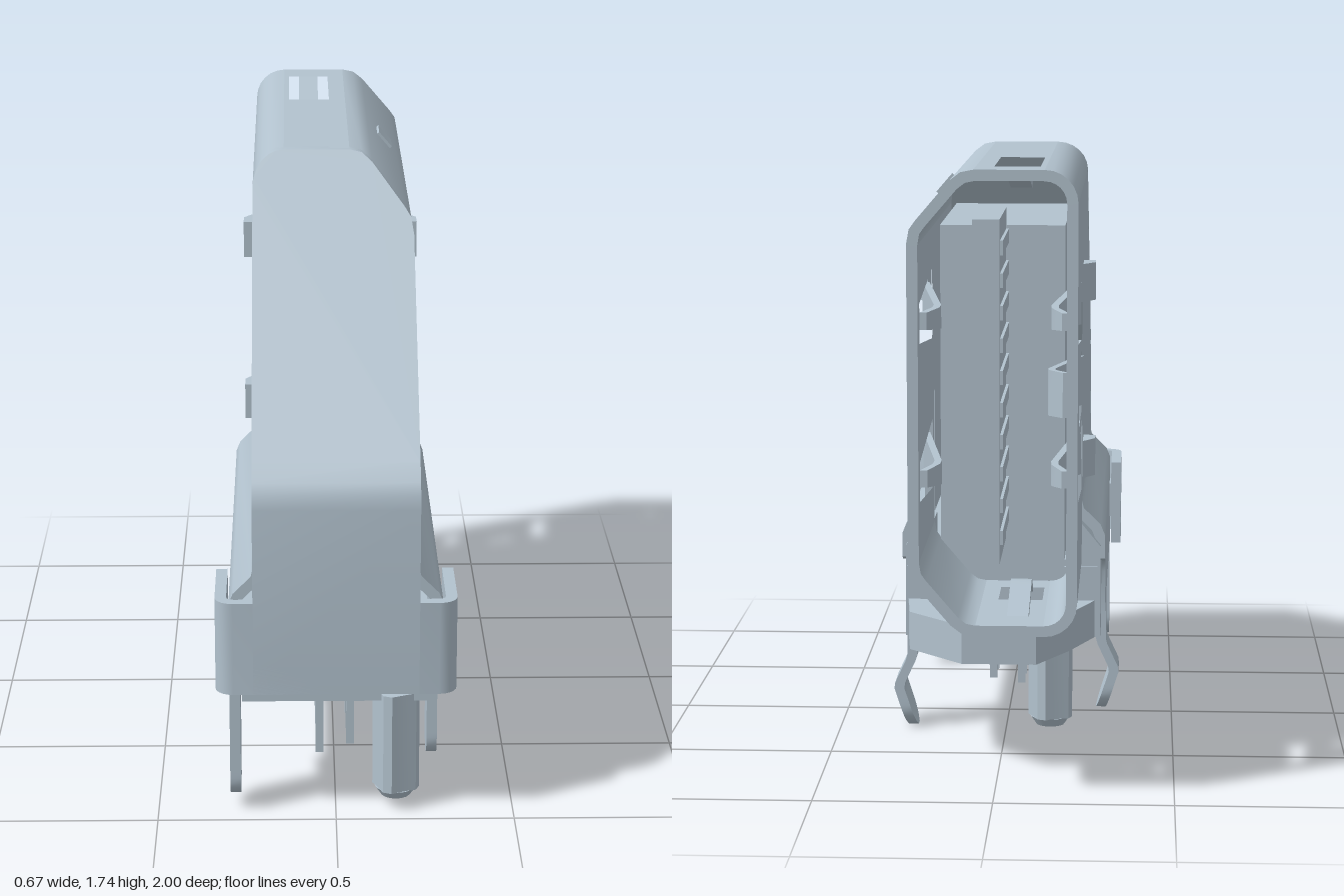
import * as THREE from 'three';
import { toCreasedNormals } from 'three/addons/utils/BufferGeometryUtils.js';

const T = 0.03; // sheet metal thickness
const slopeZ = (y) => 0.2 + (1.74 - y) / 0.96; // sloping front line
const flipY = (p) => p.map(([x, y]) => [x, 2.21 - y]);

// Shell cross-section corners: one small round, one long chamfer
const roundCorner = [];
for (let i = 0; i <= 6; i++) {
  const a = Math.PI - (i / 6) * Math.PI / 2;
  roundCorner.push([-0.14 + 0.09 * Math.cos(a), 1.65 + 0.09 * Math.sin(a)]);
}
const chamferCorner = [[0.05, 1.74], [0.085, 1.733], [0.115, 1.71], [0.205, 1.605], [0.223, 1.58], [0.23, 1.54]];

function extrude(pts, holes, depth) {
  const shape = new THREE.Shape(pts.map((p) => new THREE.Vector2(p[0], p[1])));
  for (const h of holes) shape.holes.push(new THREE.Path(h.map((p) => new THREE.Vector2(p[0], p[1]))));
  return new THREE.ExtrudeGeometry(shape, { depth, bevelEnabled: false });
}
// Plate from (z, y) points spanning x0..x1
function plateX(pts, x0, x1, holes = []) {
  const neg = (l) => l.map(([z, y]) => [-z, y]);
  return extrude(neg(pts), holes.map(neg), x1 - x0).rotateY(Math.PI / 2).translate(x0, 0, 0);
}
// Plate from (x, z) points spanning y0..y1
function plateY(pts, y0, y1, holes = []) {
  const neg = (l) => l.map(([x, z]) => [x, -z]);
  return extrude(neg(pts), holes.map(neg), y1 - y0).rotateX(-Math.PI / 2).translate(0, y0, 0);
}
const plateZ = (pts, z0, z1) => extrude(pts, [], z1 - z0).translate(0, 0, z0);
const rect = (a0, a1, b0, b1) => [[a0, b0], [a1, b0], [a1, b1], [a0, b1]];
const box = (x0, x1, y0, y1, z0, z1) =>
  new THREE.BoxGeometry(x1 - x0, y1 - y0, z1 - z0).translate((x0 + x1) / 2, (y0 + y1) / 2, (z0 + z1) / 2);

// Thicken a polyline to its left (t > 0) or right (t < 0)
function strip(pts, t) {
  const normal = (a, b) => {
    const l = Math.hypot(b[0] - a[0], b[1] - a[1]);
    return [-(b[1] - a[1]) / l, (b[0] - a[0]) / l];
  };
  const inner = pts.map((p, i) => {
    const n0 = i ? normal(pts[i - 1], p) : normal(p, pts[1]);
    const n1 = i < pts.length - 1 ? normal(p, pts[i + 1]) : n0;
    const k = t / (1 + n0[0] * n1[0] + n0[1] * n1[1]);
    return [p[0] + (n0[0] + n1[0]) * k, p[1] + (n0[1] + n1[1]) * k];
  });
  return [...pts, ...inner.reverse()];
}
function moveVertices(geo, rule) {
  const p = geo.attributes.position;
  const v = new THREE.Vector3();
  for (let i = 0; i < p.count; i++) {
    rule(v.fromBufferAttribute(p, i));
    p.setXYZ(i, v.x, v.y, v.z);
  }
  return geo;
}
// Tapered contact spring, bowed inward, its outer face on x = 0 facing +x
function spring(zRoot, zTip, w, tipScale, depth) {
  const geo = new THREE.BoxGeometry(0.02, w, Math.abs(zTip - zRoot), 1, 1, 12).translate(-0.01, 0, (zRoot + zTip) / 2);
  return moveVertices(geo, (v) => {
    const t = (v.z - zRoot) / (zTip - zRoot);
    v.y *= 1 + (tipScale - 1) * t;
    v.x -= depth * (t < 0.8 ? t / 0.8 : 1 - (t - 0.8) * 3);
  });
}
// Board leg with a rounded tip, optionally bowed outward
function leg(s, yBottom, z0, z1, bowed) {
  const h = 0.42 - yBottom, r = (z1 - z0) / 2;
  const geo = new THREE.BoxGeometry(T, h, r * 2, 1, 24, 1).translate(0, yBottom + h / 2, 0);
  moveVertices(geo, (v) => {
    const d = Math.min(1, (v.y - yBottom) / r);
    v.z *= Math.max(0.25, Math.sqrt(1 - (1 - d) ** 2));
    if (bowed && v.y < 0.22) v.x += s * (v.y > 0.13 ? (0.22 - v.y) / 0.09 : v.y / 0.13) * 0.042;
  });
  return geo.translate(s * 0.282, 0, (z0 + z1) / 2);
}

export function createModel() {
  const model = new THREE.Group();
  const metal = new THREE.MeshStandardMaterial({ color: 0xb2c2ce });
  metal.name = 'pale blue grey';
  const add = (name, geo) => {
    const m = new THREE.Mesh(toCreasedNormals(geo, 0.6), metal);
    m.name = name;
    model.add(m);
  };

  // Shell roof and floor: corner strips and slotted flat panels
  const roofEnd = (v) => { if (v.z > 0) v.z = slopeZ(v.y) - 0.03; };
  for (const c of [roundCorner, chamferCorner]) {
    add('roofCorner', moveVertices(plateZ(strip(c, -T), -1, 0.2), roofEnd));
    add('floorCorner', plateZ(strip(flipY(c), T), -1, -0.4));
  }
  const slot = rect(-0.125, 0, -0.88, -0.51);
  add('roof', plateY(rect(-0.14, 0.05, -1, 0.18), 1.71, 1.74, [slot]));
  add('floor', plateY(rect(-0.14, 0.05, -1, -0.4), 0.47, 0.5, [slot]));
  add('roofSpring', spring(-0.88, -0.54, 0.06, 1, 0.06).rotateZ(Math.PI / 2).translate(-0.0625, 1.74, 0));
  add('floorSpring', spring(-0.88, -0.54, 0.06, 1, 0.06).rotateZ(-Math.PI / 2).translate(-0.0625, 0.47, 0));
  add('chamferDimple', box(-0.03, 0.03, -0.008, 0.008, -0.41, -0.31).rotateZ(-0.86).translate(0.165, 1.652, 0));

  for (const s of [1, -1]) {
    const span = (a, b) => (s > 0 ? [a, b] : [-b, -a]);
    // Side wall with spring windows and a relief slit
    const top = s > 0 ? 1.54 : 1.65;
    const wall = [[-1, 2.21 - top], [-0.41, 2.21 - top], [-0.41, 1.06], [-0.38, 1.06], [-0.38, 0.7], [0.95, 0.7],
      [0.95, 0.92], [0.935, 0.98], [0.9, 1.03], [slopeZ(top) - 0.05, top], [-1, top]];
    const windows = [1.32, 0.885].map((y) => [[-0.94, y - 0.055], [-0.48, y - 0.1], [-0.46, y - 0.085], [-0.46, y + 0.085],
      [-0.48, y + 0.1], [-0.94, y + 0.055]]);
    if (s < 0) windows.push(rect(-0.83, -0.5, 1.02, 1.19));
    add('sideWall', plateX(wall, ...span(0.2, 0.23), windows));
    for (const y of [1.32, 0.885]) {
      const g = spring(-0.46, -0.89, 0.12, 0.4, 0.06);
      if (s < 0) g.rotateZ(Math.PI);
      add('sideSpring', g.translate(s * 0.228, y, 0));
    }
    // Locking tabs
    for (const y of [0.845, 1.365]) {
      add('lockTab', plateY([[s * 0.22, -0.35], [s * 0.265, -0.28], [s * 0.265, -0.22], [s * 0.22, -0.22]], y - 0.055, y + 0.055));
    }
    // Flared skirt
    add('skirtFlare', plateZ(strip([[s * 0.23, 0.73], [s * 0.235, 0.71], [s * 0.285, 0.66], [s * 0.297, 0.63], [s * 0.297, 0.59]], -s * T), -0.38, 0.95));
    add('skirt', plateX([[-0.38, 0.6], [0.95, 0.6], [0.95, 0.36], [-0.23, 0.36], [-0.23, 0.49], [-0.25, 0.525], [-0.28, 0.54],
      [-0.36, 0.55], [-0.38, 0.56]], ...span(0.267, 0.297)));
    // Arm of the front band, with latch
    add('bandArm', plateX(rect(0.73, 0.95, 0.38, 0.65), ...span(0.303, 0.335), [rect(0.78, 0.92, 0.435, 0.59)]));
    add('latch', box(...span(0.29, 0.325), 0.46, 0.57, 0.78, 0.88));
  }
  // Middle latch spring on one side
  add('middleSpring', spring(-0.5, -0.8, 0.14, 0.9, 0.08).rotateZ(Math.PI).translate(-0.236, 1.105, 0));

  // Front cover: vertical plate, soft bend, sloping top and wrap-around band
  add('frontCover', plateX(strip([[1, 0.38], [1, 0.92], [0.993, 0.96], [0.975, 0.992], [slopeZ(1.04), 1.04]], T), -0.23, 0.23));
  add('slopeCover', moveVertices(plateZ([[-0.23, 1.035], ...roundCorner, ...chamferCorner, [0.23, 1.035]], 0, 0.04),
    (v) => { v.z += slopeZ(v.y) - 0.04; }));
  const band = [];
  for (const s of [1, -1]) {
    for (let i = 0; i <= 5; i++) {
      const a = ((s > 0 ? i : 5 - i) / 5) * Math.PI / 2;
      band.push([s * (0.285 + 0.05 * Math.cos(a)), 0.95 + 0.05 * Math.sin(a)]);
    }
  }
  add('frontBand', plateY(strip(band, 0.032), 0.38, 0.65));

  // Insulator core, base, rear lip and contact tongue
  add('core', plateX([[-0.42, 0.5], [0.9, 0.5], [0.9, 0.98], [0.32, 1.54], [-0.42, 1.54]], -0.18, 0.18));
  add('base', box(-0.262, 0.262, 0.33, 0.56, -0.4, 0.93));
  add('baseRear', box(-0.285, 0.285, 0.33, 0.54, -0.41, -0.2));
  for (const s of [1, -1]) {
    add('baseFin', plateZ([[s * 0.2, 0.5], [s * 0.285, 0.5], [s * 0.285, 0.6], [s * 0.22, 0.68], [s * 0.2, 0.68]], -0.405, -0.3));
  }
  add('rearLip', plateY([[0.28, -0.38], [0.26, -0.58], [0.1, -0.75], [-0.11, -0.75], [-0.2, -0.58], [-0.28, -0.38]], 0.33, 0.44));
  add('tongue', box(-0.01, 0.065, 0.63, 1.59, -0.8, -0.4));
  for (let i = 0; i < 10; i++) {
    const y = 0.7 + i * 0.09;
    add('contact', box(-0.018, -0.005, y - 0.02, y + 0.02, -0.78, -0.42));
  }

  // Solder pins in two staggered rows
  for (let i = 0; i < 19; i++) {
    const x = i % 2 ? 0.043 : -0.045, z = 0.82 - i * 0.0545;
    add('pin', box(x - 0.011, x + 0.011, 0.13, 0.36, z - 0.012, z + 0.012));
  }

  // Fluted locating pegs with chamfered tips
  for (const [x, z] of [[0.17, 0.89], [-0.135, -0.265]]) {
    const star = [];
    for (let i = 0; i < 16; i++) {
      const a = ((i + 0.5) / 16) * Math.PI * 2, r = i % 4 < 2 ? 0.067 : 0.056;
      star.push([r * Math.cos(a), r * Math.sin(a)]);
    }
    add('peg', plateY(star, 0.055, 0.35).translate(x, 0, z));
    add('pegTip', new THREE.CylinderGeometry(0.06, 0.042, 0.026, 16).translate(x, 0.043, z));
  }

  // Board legs
  add('straightLeg', leg(1, 0.04, 0.56, 0.68, false));
  add('straightLeg', leg(-1, 0.04, 0.83, 0.95, false));
  add('bowedLeg', leg(1, 0, -0.23, -0.1, true));
  add('bowedLeg', leg(-1, 0, 0, 0.13, true));
  return model;
}
